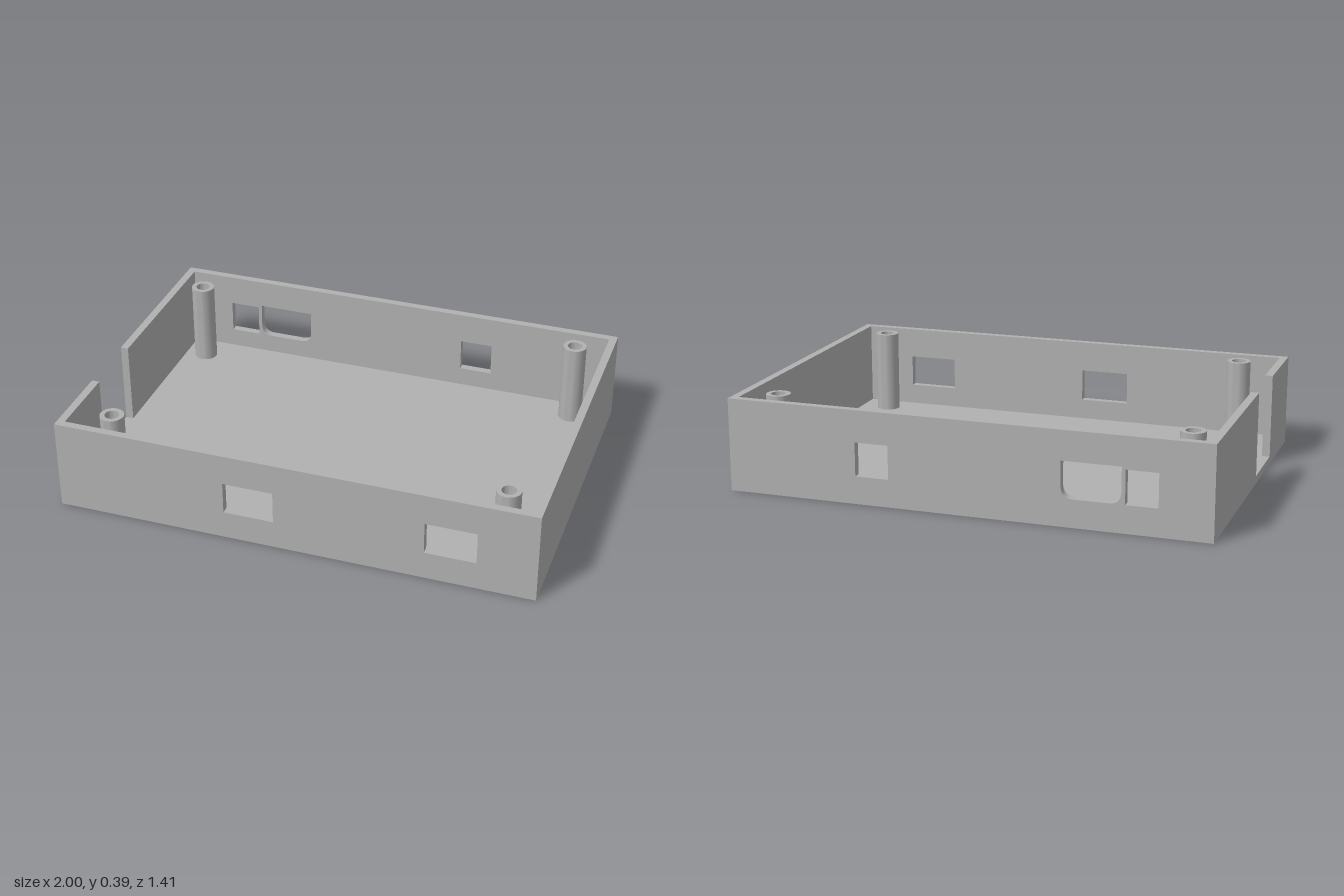
import * as THREE from 'three';
import { toCreasedNormals } from 'three/addons/utils/BufferGeometryUtils.js';

const W = 1, D = 0.704, H = 0.387; // half width, half depth, height
const T = 0.033; // wall and floor thickness

const rectHole = (x0, x1, y0, y1) =>
  new THREE.Path([[x0, y0], [x0, y1], [x1, y1], [x1, y0]].map(([x, y]) => new THREE.Vector2(x, y)));

// Connector opening: square at the top, rounded in towards the bottom
function connectorHole(x0, x1, y0, y1) {
  const p = new THREE.Path();
  const inset = 0.05, shoulder = y0 + 0.05;
  p.moveTo(x0, y1);
  p.lineTo(x1, y1);
  p.lineTo(x1, shoulder);
  p.quadraticCurveTo(x1, y0, x1 - inset, y0);
  p.lineTo(x0 + inset, y0);
  p.quadraticCurveTo(x0, y0, x0, shoulder);
  p.closePath();
  return p;
}

export function createModel() {
  const group = new THREE.Group();
  const plastic = new THREE.MeshStandardMaterial({ color: 0xb0b0b0 });
  plastic.name = 'grey plastic';

  const add = (name, geometry, x, y, z) => {
    const mesh = new THREE.Mesh(geometry, plastic);
    mesh.name = name;
    mesh.position.set(x, y, z);
    group.add(mesh);
  };

  // Floor
  add('floor', new THREE.BoxGeometry(2 * W, T, 2 * D), 0, T / 2, 0);

  // Front and back walls with port openings
  const longWall = (name, holes, z) => {
    const shape = new THREE.Shape();
    shape.moveTo(-W, T).lineTo(W, T).lineTo(W, H).lineTo(-W, H).closePath();
    shape.holes.push(...holes);
    const geometry = new THREE.ExtrudeGeometry(shape, { depth: T, bevelEnabled: false, curveSegments: 8 });
    add(name, geometry, 0, 0, z);
  };
  longWall('frontWall', [
    rectHole(-0.28, -0.07, 0.12, 0.257),
    rectHole(0.55, 0.76, 0.12, 0.257),
  ], D - T);
  longWall('backWall', [
    rectHole(0.31, 0.45, 0.115, 0.255),
    rectHole(-0.785, -0.655, 0.115, 0.255),
    connectorHole(-0.64, -0.4, 0.115, 0.265),
  ], -D);

  // Side walls, the right one interrupted by a cable notch
  const sideWall = (name, x, z0, z1) =>
    add(name, new THREE.BoxGeometry(T, H - T, z1 - z0), x, (H + T) / 2, (z0 + z1) / 2);
  sideWall('leftWall', W - T / 2, -D + T, D - T);
  sideWall('rightWallBack', -W + T / 2, -D + T, 0.065);
  sideWall('rightWallFront', -W + T / 2, 0.35, D - T);

  // Hollow screw posts
  const profile = [[0.05, T], [0.05, H], [0.03, H], [0.03, T]].map(([r, y]) => new THREE.Vector2(r, y));
  const post = toCreasedNormals(new THREE.LatheGeometry(profile, 32), 0.6);
  for (const [x, z] of [[-0.875, -0.55], [0.84, -0.57], [-0.81, 0.565], [0.84, 0.565]]) {
    add('screwPost', post, x, 0, z);
  }
  return group;
}
